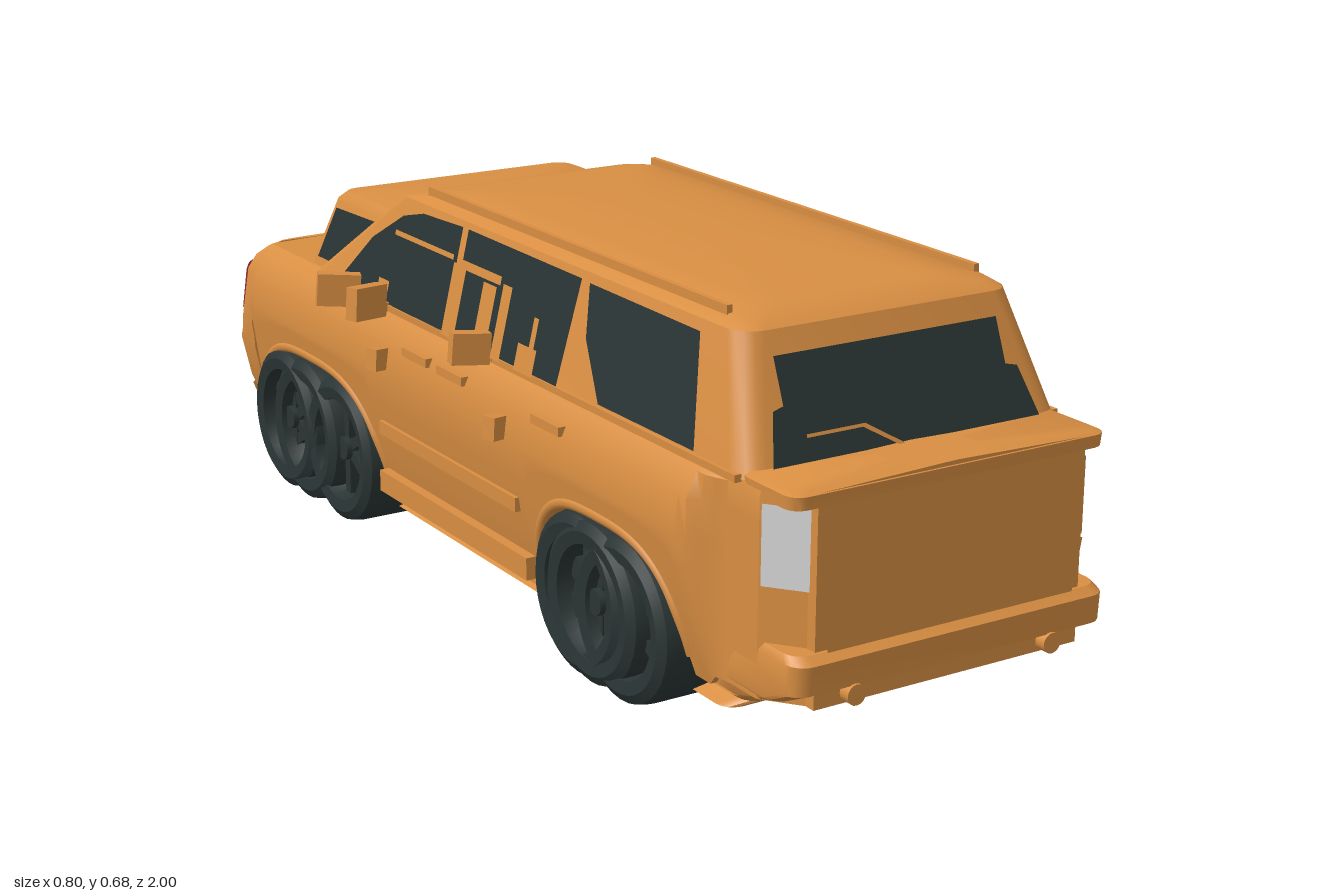
import * as THREE from 'three';
import { toCreasedNormals } from 'three/addons/utils/BufferGeometryUtils.js';

const mat = (name, color) => {
  const m = new THREE.MeshStandardMaterial({ color, side: THREE.DoubleSide });
  m.name = name;
  return m;
};
const V = (x, y, z) => new THREE.Vector3(x, y, z);

// Linear lookup in rows [key, a, b, ...]
function table(rows, k) {
  let i = 1;
  while (i < rows.length - 1 && rows[i][0] < k) i++;
  const a = rows[i - 1], b = rows[i];
  const t = THREE.MathUtils.clamp((k - a[0]) / (b[0] - a[0]), 0, 1);
  return a.map((v, j) => v + (b[j] - v) * t);
}

// Closed solid through rings of equal point count, wound outward
function loft(rings, crease = 0.5) {
  const n = rings[0].length, pts = rings.flat(), tris = [];
  rings.slice(1).forEach((_, r) => {
    for (let i = 0; i < n; i++) {
      const a = r * n + i, b = r * n + (i + 1) % n;
      tris.push([a, b, b + n], [a, b + n, a + n]);
    }
  });
  for (const [r, flip] of [[0, true], [rings.length - 1, false]]) {
    const c = rings[r].reduce((s, p) => s.add(p), V(0, 0, 0)).divideScalar(n);
    pts.push(c);
    for (let i = 0; i < n; i++) {
      const a = r * n + i, b = r * n + (i + 1) % n, m = pts.length - 1;
      tris.push(flip ? [b, a, m] : [a, b, m]);
    }
  }
  let vol = 0;
  for (const [a, b, c] of tris) vol += pts[a].dot(V(0, 0, 0).crossVectors(pts[b], pts[c]));
  const g = new THREE.BufferGeometry().setFromPoints(pts);
  g.setIndex(tris.flatMap(([a, b, c]) => (vol > 0 ? [a, b, c] : [a, c, b])));
  return toCreasedNormals(g, crease);
}

// Rounded rectangle ring at height y
function slabRing(y, hx, zf, zb, r) {
  const out = [];
  const corners = [[hx - r, zb - r, 0], [-hx + r, zb - r, 1], [-hx + r, zf + r, 2], [hx - r, zf + r, 3]];
  for (const [cx, cz, q] of corners) for (let i = 0; i <= 4; i++) {
    const a = (q + i / 4) * Math.PI / 2;
    out.push(V(cx + r * Math.cos(a), y, cz + r * Math.sin(a)));
  }
  return out;
}

// Flat outline mapped into place by a rule
function pane(outline, map) {
  const g = new THREE.ShapeGeometry(new THREE.Shape(outline.map(p => new THREE.Vector2(...p))));
  const p = g.attributes.position;
  for (let i = 0; i < p.count; i++) p.setXYZ(i, ...map(p.getX(i), p.getY(i)));
  g.computeVertexNormals();
  return g;
}

// Body half width by height; nose half width, depth and squareness by height
const WIDTH = [[0.1, 0.30], [0.2, 0.325], [0.34, 0.345], [0.4, 0.335], [0.44, 0.315], [0.458, 0.292]];
const NOSE = [[0.12, 0.30, 0.165, 0.67], [0.17, 0.32, 0.188, 0.67], [0.25, 0.337, 0.199, 0.67], [0.275, 0.338, 0.19, 0.72],
  [0.3, 0.342, 0.183, 0.78], [0.4, 0.332, 0.147, 0.78], [0.43, 0.32, 0.1, 0.75], [0.45, 0.298, 0.05, 0.7], [0.461, 0.27, 0.015, 0.67]];
const ARCHES = [[0.51, 0.225], [-0.54, 0.26]];

function archHeight(z) {
  let y = z > 0.78 ? 0.12 : 0.1;
  for (const [c, h] of ARCHES) {
    const t = Math.abs((z - c) / h);
    if (t < 1) y = 0.1 + 0.19 * Math.pow(1 - t ** 3, 1 / 2.2);
  }
  return y;
}
function nosePoint(y, th, off = 0) {
  const [, w, d, e] = table(NOSE, y), c = Math.cos(th), s = Math.abs(Math.sin(th));
  return V(Math.sign(c) * (w + off) * Math.abs(c) ** e, y, -0.8 - (d + off) * s ** e);
}
// Angle on the nose at which a given x is reached
function noseAngle(y, x) {
  const [, w, , e] = table(NOSE, y);
  return Math.acos(Math.sign(x) * Math.min(1, Math.abs(x) / w) ** (1 / e));
}
// Patch on the nose between two heights and two x positions
function nosePatch(y0, y1, x0, x1, off) {
  const g = new THREE.PlaneGeometry(1, 1, 16, 6), p = g.attributes.position;
  for (let i = 0; i < p.count; i++) {
    const y = y0 + (p.getY(i) + 0.5) * (y1 - y0);
    const q = nosePoint(y, noseAngle(y, x0 + (p.getX(i) + 0.5) * (x1 - x0)), off);
    p.setXYZ(i, q.x, q.y, q.z);
  }
  g.computeVertexNormals();
  return g;
}

export function createModel() {
  const root = new THREE.Group();
  root.name = 'stretchedOffRoader';
  const paint = mat('orangePaint', 0xd88e42);
  const dark = mat('darkGlassAndRubber', 0x2a3434);
  const red = mat('redLamp', 0xd63c50);
  const white = mat('whiteLamp', 0xd6d6d6);
  const add = (name, geo, m, pos, rot) => {
    const mesh = new THREE.Mesh(geo, m);
    mesh.name = name;
    if (pos) mesh.position.set(...pos);
    if (rot) mesh.rotation.set(...rot);
    root.add(mesh);
    return mesh;
  };
  const box = (name, w, h, d, pos, rot) => add(name, new THREE.BoxGeometry(w, h, d), paint, pos, rot);

  // Lower body with wheel wells, narrowing and chamfered at the tail
  const rings = [];
  for (let i = 0; i <= 89; i++) {
    const z = -0.8 + i * 0.02, a = archHeight(z);
    const cap = 0.345 - 0.046 * THREE.MathUtils.smoothstep(z, 0.73, 0.83) - 0.78 * THREE.MathUtils.clamp(z - 0.9, 0, 0.06);
    const half = [[0.18, Math.min(a, 0.12)], [0.18, a]];
    for (let k = 0; k <= 4; k++) {
      const y = a + (0.34 - a) * k / 4;
      half.push([Math.min(cap, table(WIDTH, y)[1]), y]);
    }
    for (const [y, w] of WIDTH.slice(3)) half.push([Math.min(cap, w), y]);
    rings.push([...half.map(([x, y]) => V(x, y, z)), V(0, 0.465, z),
      ...half.reverse().map(([x, y]) => V(-x, y, z))]);
  }
  add('lowerBody', loft(rings), paint);

  // Nose and grille
  add('nose', loft(NOSE.map(([y]) => Array.from({ length: 41 }, (_, i) => nosePoint(y, i / 40 * Math.PI))), 0.6), paint);
  for (let i = 0; i <= 10; i++) {
    const x = -0.18 + i * 0.036;
    add('grilleBar', nosePatch(0.28, 0.4, x - 0.005, x + 0.005, 0.008), paint);
  }
  for (let i = 0; i <= 5; i++) add('grilleSlat', nosePatch(0.277 + i * 0.0235, 0.284 + i * 0.0235, -0.185, 0.185, 0.008), paint);
  add('bumperLip', nosePatch(0.13, 0.15, -0.3, 0.3, 0.006), paint);

  // Cabin, roof and the forward cab
  add('cabin', loft([slabRing(0.45, 0.305, -0.6, 0.87, 0.04), slabRing(0.65, 0.258, -0.31, 0.79, 0.04),
    slabRing(0.664, 0.238, -0.24, 0.77, 0.04), slabRing(0.672, 0.17, -0.16, 0.72, 0.04),
    slabRing(0.679, 0.08, -0.05, 0.5, 0.04)], 0.5), paint);
  add('forwardCab', loft([slabRing(0.45, 0.288, -0.65, -0.28, 0.03), slabRing(0.59, 0.256, -0.59, -0.28, 0.03),
    slabRing(0.606, 0.245, -0.57, -0.28, 0.03), slabRing(0.615, 0.2, -0.5, -0.28, 0.03)], 0.5), paint);

  // Front and rear glass
  const trap = (a, y0, b, y1) => [[-a, y0], [a, y0], [b, y1], [-b, y1]];
  add('windshield', pane(trap(0.26, 0.47, 0.23, 0.638), (x, y) => [x, y, -0.604 + 1.45 * (y - 0.45)]), dark);
  add('forwardWindshield', pane(trap(0.258, 0.462, 0.228, 0.585), (x, y) => [x, y, -0.655 + 0.4286 * (y - 0.45)]), dark);
  for (const s of [1, -1]) add('cowlGlass', pane([[s * 0.05, -0.64], [s * 0.24, -0.64], [s * 0.225, -0.7], [s * 0.09, -0.705]],
    (x, z) => [x, 0.475 + 0.15 * (z + 0.7), z]), dark);
  const rearZ = y => 0.875 - 0.4 * (y - 0.45);
  add('rearGlass', pane([[-0.255, 0.458], [0.255, 0.458], [0.23, 0.54], [0.208, 0.545], [0.208, 0.615],
    [-0.215, 0.615], [-0.215, 0.545], [-0.235, 0.54]], (x, y) => [x, y, rearZ(y)]), dark);
  add('rearWiper', pane([[-0.188, 0.498], [-0.085, 0.498], [-0.015, 0.458], [-0.003, 0.458], [-0.08, 0.503],
    [-0.188, 0.503]], (x, y) => [x, y, rearZ(y) + 0.006]), paint);

  // Cowl and hood scoop
  box('cowl', 0.41, 0.03, 0.045, [0, 0.485, -0.642], [-0.3, 0, 0]);
  add('hoodScoop', new THREE.TorusGeometry(0.09, 0.014, 8, 24, Math.PI), paint, [0, 0.44, -0.73]).scale.set(1.1, 0.7, 2);
  add('scoopDome', new THREE.SphereGeometry(0.075, 20, 8, 0, Math.PI * 2, 0, Math.PI / 2), paint, [0, 0.455, -0.72]).scale.set(1, 0.4, 0.5);

  // Tailgate and bumper
  add('tailgateUpper', pane(trap(0.248, 0.303, 0.248, 0.43), (x, y) => [x, y, 0.987]), paint);
  add('tailgateLower', pane(trap(0.23, 0.19, 0.25, 0.297), (x, y) => [x, y, 0.987]), paint);
  add('deckLip', loft([slabRing(0.436, 0.296, 0.84, 0.98, 0.025), slabRing(0.457, 0.297, 0.84, 0.982, 0.025),
    slabRing(0.463, 0.285, 0.84, 0.97, 0.025)]), paint);
  add('rearBumper', loft([slabRing(0.1, 0.29, 0.76, 0.86, 0.03), slabRing(0.13, 0.3, 0.78, 0.95, 0.03),
    slabRing(0.152, 0.3, 0.8, 0.995, 0.03), slabRing(0.2, 0.298, 0.8, 1, 0.03),
    slabRing(0.212, 0.292, 0.8, 0.985, 0.03)]), paint);

  // Underbody
  add('floor', loft([slabRing(0.043, 0.262, -0.42, 0.77, 0.03), slabRing(0.055, 0.235, -0.42, 0.79, 0.03),
    slabRing(0.07, 0.255, -0.5, 0.8, 0.03), slabRing(0.11, 0.245, -0.55, 0.84, 0.03)]), paint);

  // Wheel shared by all axles
  const tyreGeo = toCreasedNormals(new THREE.LatheGeometry([[0.085, -0.07], [0.12, -0.08], [0.136, -0.07],
    [0.14, -0.05], [0.14, 0.05], [0.136, 0.07], [0.12, 0.08], [0.098, 0.076], [0.092, 0.045], [0.085, 0.03],
    [0.085, -0.07]].map(p => new THREE.Vector2(...p)), 36), 0.6);
  function wheel(side, z, x) {
    const g = new THREE.Group();
    g.name = 'wheel';
    const put = (name, geo) => {
      const m = new THREE.Mesh(geo, dark);
      m.name = name;
      g.add(m);
      return m;
    };
    put('tyre', tyreGeo);
    put('rimDisc', new THREE.CylinderGeometry(0.09, 0.09, 0.02, 28)).position.y = 0.02;
    put('hub', new THREE.CylinderGeometry(0.022, 0.026, 0.05, 16)).position.y = 0.04;
    for (let i = 0; i < 6; i++) {
      const a = i * Math.PI / 3, m = put('spoke', new THREE.BoxGeometry(0.075, 0.025, 0.02));
      m.position.set(0.052 * Math.cos(a), 0.042, -0.052 * Math.sin(a));
      m.rotation.y = a;
    }
    g.rotation.z = -side * Math.PI / 2;
    g.position.set(side * x, 0.141, z);
    root.add(g);
  }

  for (const s of [1, -1]) {
    [[0.575, 0.264], [0.49, 0.267], [0.445, 0.264], [-0.43, 0.264], [-0.575, 0.266], [-0.66, 0.267]]
      .forEach(([z, x]) => wheel(s, z, x));

    // Wheel arch flares
    for (const [c, h] of ARCHES) {
      const pts = Array.from({ length: 17 }, (_, i) => {
        const z = c + h * 0.995 * Math.cos(i / 16 * Math.PI), y = archHeight(z) + 0.005;
        return V(s * (table(WIDTH, y)[1] - 0.006), y, z);
      });
      add('archFlare', new THREE.TubeGeometry(new THREE.CatmullRomCurve3(pts), 40, 0.011, 8), paint);
    }

    // Side windows
    const sideX = y => s * (0.308 - 0.235 * (y - 0.45));
    const glass = [
      [[0.735, 0.462], [0.46, 0.462], [0.39, 0.55], [0.37, 0.635], [0.69, 0.632]],
      [[0.33, 0.455], [-0.035, 0.455], [-0.035, 0.64], [0.345, 0.637]],
      [[-0.055, 0.455], [-0.47, 0.462], [-0.37, 0.56], [-0.27, 0.618], [-0.2, 0.635], [-0.055, 0.64]]];
    glass.forEach(o => add('sideWindow', pane(o, (z, y) => [sideX(y), y, z]), dark));
    add('forwardCabWindow', pane([[-0.37, 0.475], [-0.6, 0.475], [-0.56, 0.575], [-0.37, 0.58]],
      (z, y) => [s * (0.292 - 0.2286 * (y - 0.45)), y, z]), dark);

    // Inner window frames
    const frames = [[0.26, 0.2, 0.455, 0.5], [0.25, 0.235, 0.5, 0.55], [0.15, 0.12, 0.455, 0.58], [0.1, 0.055, 0.455, 0.57],
      [0.11, -0.04, 0.575, 0.59], [-0.01, -0.055, 0.455, 0.58], [-0.27, -0.31, 0.455, 0.5], [-0.06, -0.28, 0.583, 0.592]];
    frames.forEach(([z0, z1, y0, y1]) => add('windowFrame', pane([[z0, y0], [z1, y0], [z1, y1], [z0, y1]],
      (z, y) => [sideX(y) + s * 0.005, y, z]), paint));

    // Mirrors: [z, y, inner x, outer x, height, sweep]
    [[-0.372, 0.47, 0.315, 0.394, 0.06, 0.36], [-0.257, 0.472, 0.315, 0.394, 0.06, -0.36],
      [0.1, 0.472, 0.305, 0.373, 0.055, 0.2], [0.213, 0.365, 0.33, 0.373, 0.04, -0.35],
      [-0.22, 0.375, 0.335, 0.37, 0.04, -0.3]].forEach(([z, y, x0, x1, h, sweep]) => {
      box('mirror', x1 - x0, h, 0.026, [s * (x0 + x1) / 2, y, z], [0, s * sweep, s * 0.08]);
      box('mirrorArm', x0 - 0.26, 0.016, 0.022, [s * (x0 + 0.27) / 2, y - h * 0.3, z + sweep * 0.05]);
    });

    // Handles, trim and steps
    for (const z of [0.355, 0.03, -0.1]) box('doorHandle', 0.014, 0.016, 0.09, [s * 0.336, 0.405, z]);
    box('beltTrim', 0.012, 0.012, 1.3, [s * 0.303, 0.452, 0.2]);
    box('rubStrip', 0.012, 0.025, 0.5, [s * 0.333, 0.235, 0]);
    box('sideStep', 0.06, 0.04, 0.54, [s * 0.3, 0.125, 0]);
    box('lowerSill', 0.05, 0.04, 0.44, [s * 0.255, 0.09, 0]);
    box('roofRail', 0.01, 0.02, 0.95, [s * 0.236, 0.667, 0.25]);

    // Lamps and exhaust; the tail lamp lies on the chamfer
    add('tailLamp', pane([[0.254, 0.302], [0.3, 0.302], [0.3, 0.43], [0.254, 0.43]],
      (x, y) => [s * x, y, 0.966 - 1.28 * (x - 0.254)]), white);
    add('headLamp', nosePatch(0.308, 0.41, s * 0.205, s * 0.312, 0.005), red);
    const fog = nosePoint(0.195, s > 0 ? 0.9 : Math.PI - 0.9);
    add('fogLampRing', new THREE.TorusGeometry(0.027, 0.008, 8, 20), paint, [fog.x, fog.y, fog.z], [0, s * -0.4, 0]);
    add('fogLamp', new THREE.CylinderGeometry(0.024, 0.024, 0.016, 20), red, [fog.x, fog.y, fog.z], [Math.PI / 2, 0, s * 0.4]);
    add('exhaust', new THREE.CylinderGeometry(0.017, 0.017, 0.1, 16), paint, [s * 0.188, 0.138, 0.95], [Math.PI / 2, 0, 0]);
  }
  return root;
}
